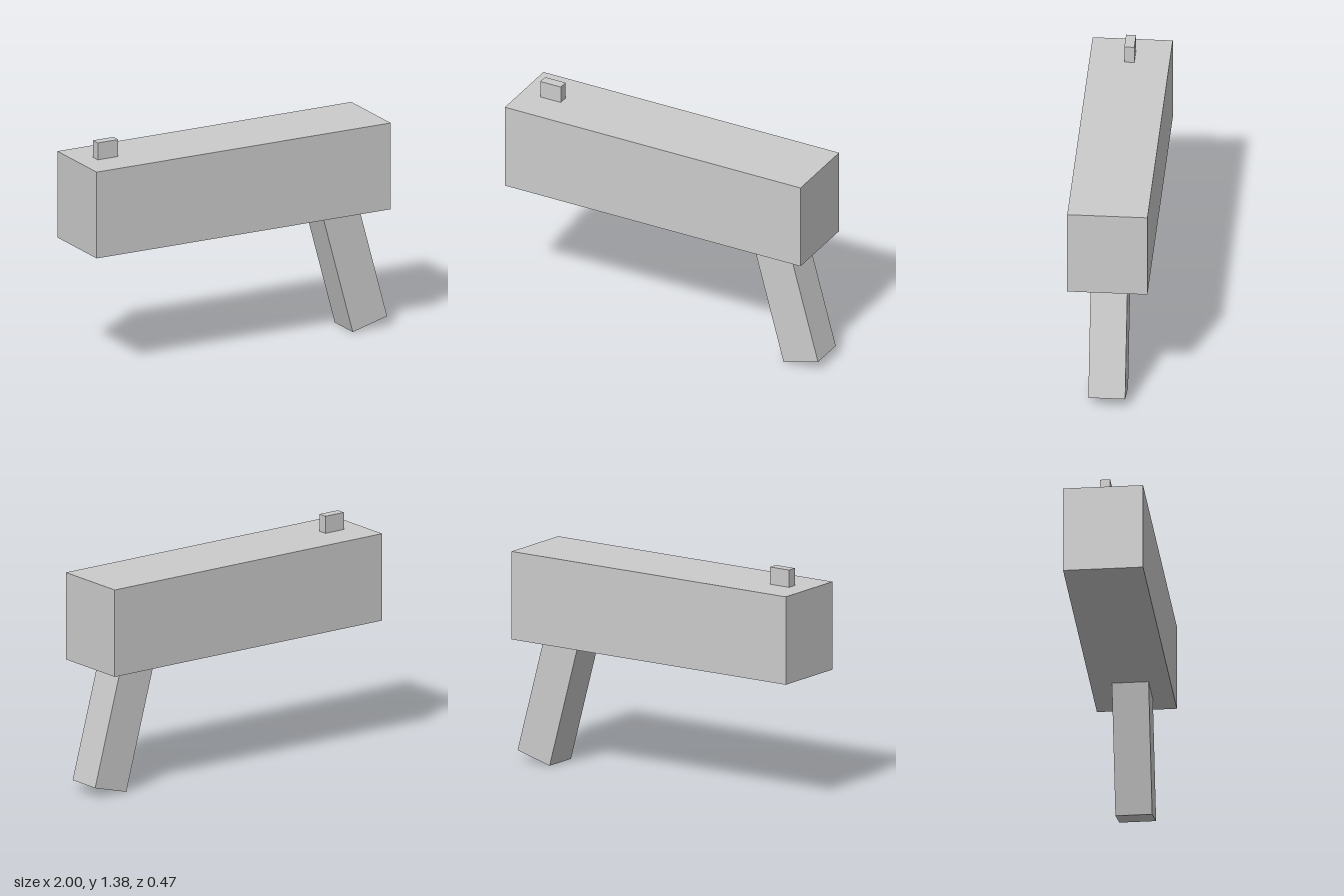
import * as THREE from 'three';

export function createModel() {
  const model = new THREE.Group();
  const material = new THREE.MeshStandardMaterial({ color: 0xcccccc, flatShading: true });

  const addBox = (name, size, position) => {
    const mesh = new THREE.Mesh(new THREE.BoxGeometry(...size), material);
    mesh.name = name;
    mesh.position.set(...position);
    model.add(mesh);
    return mesh;
  };

  // Long main block and the small sight near its right end
  addBox('body', [1.953, 0.524, 0.466], [-0.0235, 1.015, 0]);
  addBox('sight', [0.135, 0.123, 0.058], [-0.81, 1.3185, 0]);

  // Handle leaning 15 degrees, its upper end sunk into the body
  const tilt = THREE.MathUtils.degToRad(15.2);
  const length = 0.84;
  const grip = addBox('grip', [0.236, length, 0.214], [
    0.886 - Math.sin(tilt) * length / 2,
    0.031 + Math.cos(tilt) * length / 2,
    0,
  ]);
  grip.rotation.z = tilt;

  return model;
}
